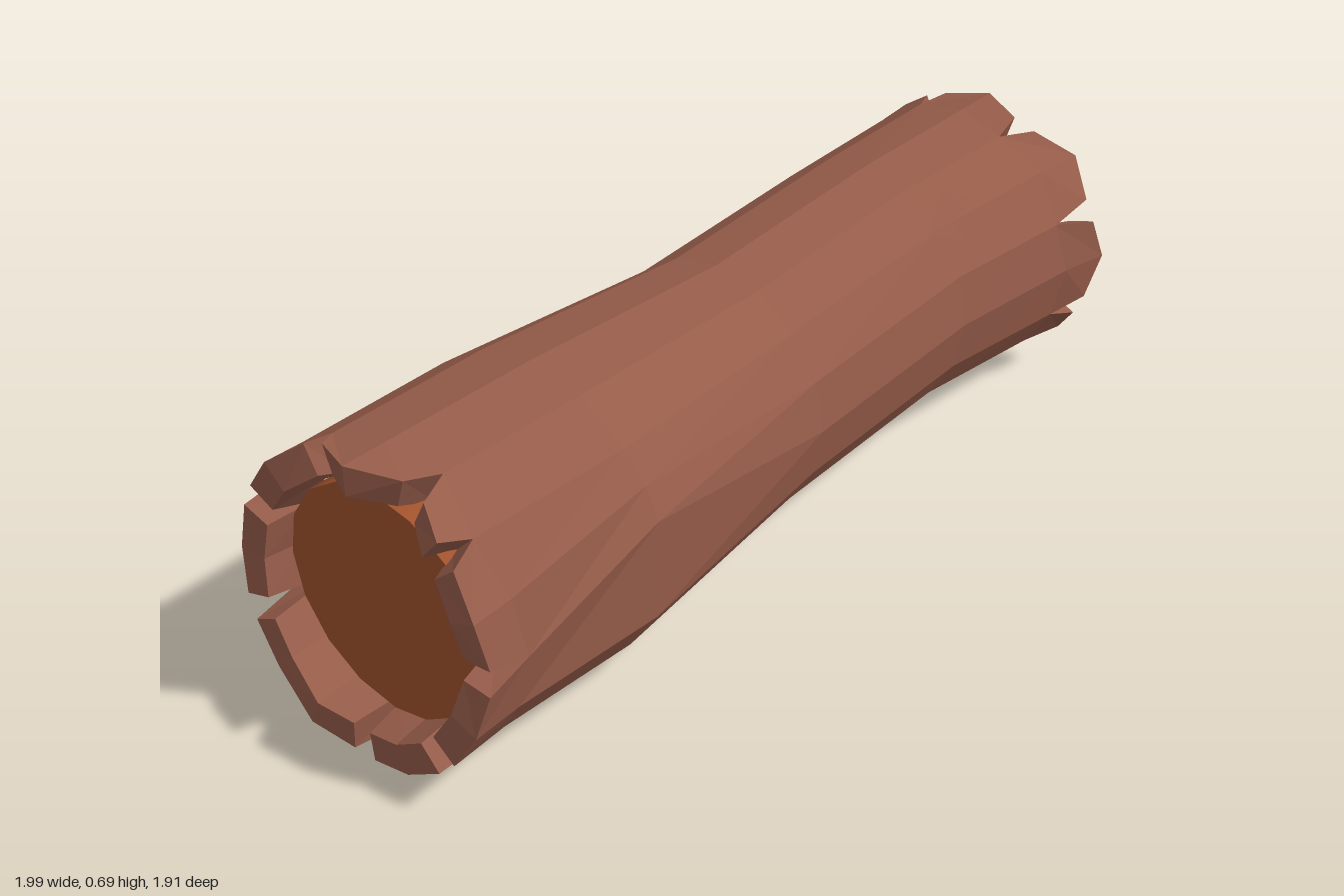
import * as THREE from 'three';

const SIDES = 16;
const STEP = (Math.PI * 2) / SIDES;

// Cross-sections along the trunk: position, centre x, centre y, radius x, radius y
const FRONT_TIP = [1.05, -0.015, 0.355, 0.335, 0.335];
const BACK_TIP = [-1.05, 0.025, 0.355, 0.342, 0.34];
const RINGS = [
  [0.92, -0.018, 0.35, 0.332, 0.335],
  [0.56, -0.007, 0.345, 0.345, 0.34],
  [0.0, 0.007, 0.357, 0.292, 0.302],
  [-0.55, 0.0, 0.365, 0.298, 0.312],
  [-0.92, 0.015, 0.357, 0.325, 0.33],
];
const FRONT_NOTCHES = [0, 2, 3, 5, 7, 9, 12, 14];
const BACK_NOTCHES = [1, 3, 5, 7, 9, 11, 12, 15];

const point = ([u, cx, cy, rx, ry], angle, along = u, scale = 1) =>
  [cx + Math.cos(angle) * rx * scale, cy + Math.sin(angle) * ry * scale, along];

// Collects separate quads so that every facet stays flat
function facets() {
  const pos = [];
  return {
    quad(a, b, c, d, flip = false) {
      const list = flip ? [a, c, b, a, d, c] : [a, b, c, a, c, d];
      list.forEach((p) => pos.push(...p));
    },
    geometry() {
      const g = new THREE.BufferGeometry();
      g.setAttribute('position', new THREE.Float32BufferAttribute(pos, 3));
      g.computeVertexNormals();
      return g;
    },
  };
}

// Bark sides between the two splintered ends
function barkBody() {
  const f = facets();
  const vertex = (i, j, notches) => {
    let angle = j * STEP;
    let along = RINGS[i][0];
    if (i === 1 && j % SIDES === 0) angle += 0.32; // kinked bark ridge
    if (i === 1 && j % SIDES === 1) angle += 0.15;
    if (notches) along = baseAlong(j, notches, Math.sign(along));
    return point(RINGS[i], angle, along);
  };
  for (let i = 0; i < RINGS.length - 1; i++) {
    const hi = i === 0 ? FRONT_NOTCHES : null;
    const lo = i === RINGS.length - 2 ? BACK_NOTCHES : null;
    for (let j = 0; j < SIDES; j++) {
      f.quad(vertex(i, j, hi), vertex(i + 1, j, lo), vertex(i + 1, j + 1, lo), vertex(i, j + 1, hi));
    }
  }
  return f.geometry();
}

// Depth at which a column's splintered part begins
function baseAlong(j, notches, side) {
  const k = j % SIDES;
  return side * (notches.includes(k) ? 0.92 - 0.025 * Math.sin(k * 2.3) : 0.93);
}

// Splintered rim: wall with a V-shaped gap at every notch
function rim(side, tip, base, notches) {
  const f = facets();
  const flip = side < 0;
  const corner = (j, toward) => {
    const k = j % SIDES;
    const notch = notches.includes(k);
    const angle = j * STEP + (notch ? toward * 0.085 : 0);
    const lean = side > 0 ? -0.03 * Math.sin(angle) : 0.015 * Math.cos(2 * angle) - 0.01;
    const along = side * (1.05 + lean + 0.015 * Math.sin(k * 3.7) - (notch ? 0.025 : 0));
    const start = baseAlong(j, notches, side);
    return {
      notch,
      T: point(tip, angle, along), t: point(tip, angle, along, 0.8),
      B: point(base, j * STEP, start), b: point(base, j * STEP, start, 0.76),
    };
  };
  for (let j = 0; j < SIDES; j++) {
    const p = corner(j, 1);
    const q = corner(j + 1, -1);
    f.quad(p.T, p.B, q.B, q.T, flip);
    f.quad(q.t, q.b, p.b, p.t, flip);
    f.quad(p.T, q.T, q.t, p.t, flip);
    if (p.notch) f.quad(p.T, p.t, p.b, p.B, flip);
    if (q.notch) f.quad(q.T, q.B, q.b, q.t, flip);
  }
  return f.geometry();
}

// Small lifted flake of bark
function barkFlake() {
  const f = facets();
  const at = (angle, along, scale) => point(RINGS[3], angle, along, scale);
  f.quad(at(0.78, -0.51, 1.01), at(0.6, -0.61, 1.0), at(0.82, -0.72, 1.02), at(1.02, -0.61, 1.05));
  return f.geometry();
}

export function createModel() {
  const bark = new THREE.MeshStandardMaterial({ color: 0x965c4a });
  const flake = new THREE.MeshStandardMaterial({ color: 0x965c4a, side: THREE.DoubleSide });
  const wood = new THREE.MeshStandardMaterial({ color: 0xa0522d });
  bark.name = 'bark';
  flake.name = 'barkFlake';
  wood.name = 'heartwood';

  const model = new THREE.Group();
  model.name = 'log';
  const trunk = new THREE.Group();
  trunk.name = 'trunk';
  trunk.rotation.y = -Math.PI / 4; // lies diagonally
  model.add(trunk);

  const add = (name, geometry, material) => {
    const mesh = new THREE.Mesh(geometry, material);
    mesh.name = name;
    trunk.add(mesh);
    return mesh;
  };
  add('barkBody', barkBody(), bark);
  add('frontRim', rim(1, FRONT_TIP, RINGS[0], FRONT_NOTCHES), bark);
  add('backRim', rim(-1, BACK_TIP, RINGS[4], BACK_NOTCHES), bark);
  add('barkFlake', barkFlake(), flake);

  // Heartwood core, recessed inside both rims
  const core = new THREE.CylinderGeometry(0.258, 0.258, 1.93, SIDES);
  core.rotateX(Math.PI / 2);
  add('heartwood', core, wood).position.set(0, 0.355, 0.02);
  return model;
}
